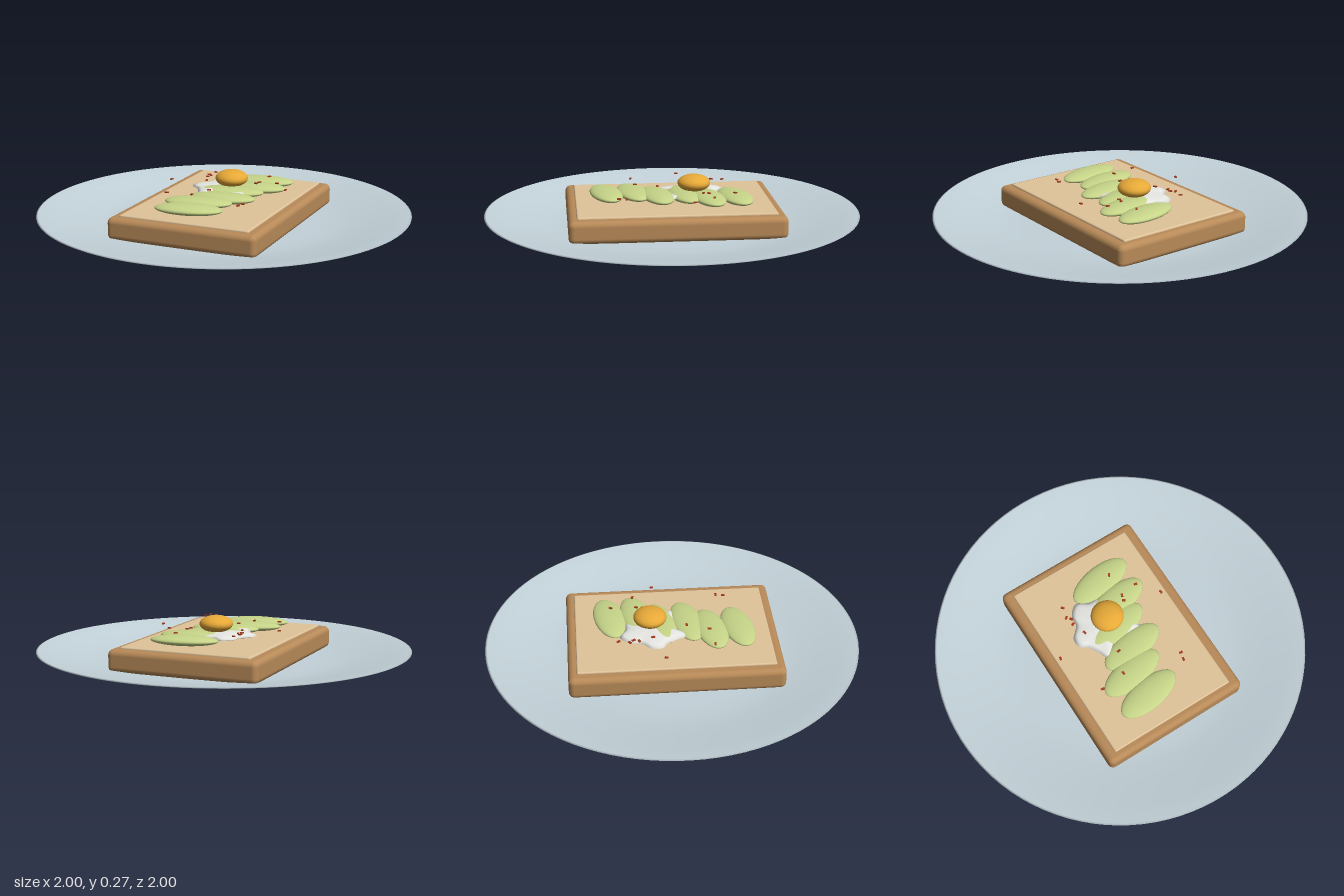
import * as THREE from 'three';
import { RoundedBoxGeometry } from 'three/addons/geometries/RoundedBoxGeometry.js';

const mat = (name, color) => {
  const m = new THREE.MeshStandardMaterial({ color });
  m.name = name;
  return m;
};

// Low dome over a smooth closed outline, tapering to a thin edge
function domeGeometry(outline, centre, yEdge, yTop, yBottom) {
  const curve = new THREE.CatmullRomCurve3(outline.map(([x, z]) => new THREE.Vector3(x, 0, z)), true);
  const n = 72, rings = 8, pos = [], idx = [];
  const ring = (k, y) => {
    for (let i = 0; i < n; i++) {
      const p = curve.getPoint(i / n);
      pos.push(centre[0] + (p.x - centre[0]) * k, y, centre[1] + (p.z - centre[1]) * k);
    }
  };
  for (let r = 0; r <= rings; r++) {
    const k = Math.max(r / rings, 0.001);
    ring(k, yEdge + (yTop - yEdge) * Math.sqrt(1 - k * k));
  }
  ring(0.9, yBottom);
  ring(0.001, yBottom);
  for (let r = 0; r < rings + 2; r++) {
    for (let i = 0; i < n; i++) {
      const a = r * n + i, b = r * n + (i + 1) % n;
      idx.push(a, b, a + n, b, b + n, a + n);
    }
  }
  const g = new THREE.BufferGeometry();
  g.setAttribute('position', new THREE.Float32BufferAttribute(pos, 3));
  g.setIndex(idx);
  g.computeVertexNormals();
  return g;
}

export function createModel() {
  const group = new THREE.Group();
  const plateMat = mat('pale blue ceramic', 0xc3d2d9);
  const crustMat = mat('crust brown', 0xb88a58);
  const crumbMat = mat('toast crumb', 0xe0c49a);
  const avocadoMat = mat('avocado green', 0xc6d488);
  const whiteMat = mat('egg white', 0xf2f2ee);
  whiteMat.side = THREE.DoubleSide;
  const yolkMat = mat('yolk orange', 0xf0b03a);
  const flakeMat = mat('chili red', 0xa83c1e);

  const add = (name, geo, material, x = 0, y = 0, z = 0, ry = 0, parent = group) => {
    const m = new THREE.Mesh(geo, material);
    m.name = name;
    m.position.set(x, y, z);
    m.rotation.y = ry;
    parent.add(m);
    return m;
  };

  // Shallow dish with a wide sloping rim
  const profile = [[0, 0], [0.5, 0], [0.58, 0.005], [0.66, 0.015], [0.76, 0.034], [0.9, 0.06], [0.99, 0.076],
    [1, 0.081], [0.99, 0.085], [0.9, 0.068], [0.78, 0.046], [0.68, 0.029], [0.6, 0.021], [0.5, 0.019], [0, 0.019]];
  add('plate', new THREE.LatheGeometry(profile.map(([x, y]) => new THREE.Vector2(x, y)), 96), plateMat);

  // Toast, turned on the plate
  const toast = new THREE.Group();
  toast.name = 'toast';
  toast.rotation.y = 0.25;
  group.add(toast);
  add('crust', new RoundedBoxGeometry(1.125, 0.12, 0.825, 4, 0.03), crustMat, 0, 0.077, 0, 0, toast);
  add('crumb', new RoundedBoxGeometry(1.035, 0.03, 0.715, 2, 0.008), crumbMat, 0, 0.132, 0, 0, toast);

  // Row of overlapping avocado slices, alternately staggered
  const sliceGeo = new THREE.SphereGeometry(1, 32, 20).scale(0.083, 0.027, 0.181);
  for (let i = 0; i < 6; i++) {
    add('avocadoSlice', sliceGeo, avocadoMat, -0.35 + i * 0.138, 0.17, i % 2 ? -0.003 : 0.043, 0.42);
  }

  // Poached egg
  const outline = [[0.06, -0.24], [0.13, -0.205], [0.19, -0.21], [0.25, -0.17], [0.235, -0.1], [0.25, -0.02],
    [0.19, 0.03], [0.11, 0.03], [0.07, 0.06], [0.02, 0.13], [-0.01, 0.06], [-0.03, -0.04], [-0.11, -0.09],
    [-0.06, -0.13], [-0.01, -0.18], [0.01, -0.225]];
  add('eggWhite', domeGeometry(outline, [0.1, -0.06], 0.174, 0.192, 0.167), whiteMat);
  add('yolk', new THREE.SphereGeometry(1, 40, 24).scale(0.088, 0.045, 0.088), yolkMat, 0.113, 0.229, -0.035);

  // Scattered chili flakes
  const flakeGeo = new THREE.BoxGeometry(0.019, 0.006, 0.011);
  const spots = [[-0.03, -0.34], [-0.26, -0.18], [-0.21, -0.05], [-0.085, -0.035], [0.07, -0.175], [0.135, -0.22],
    [0.165, -0.22], [0.18, -0.243], [0.24, -0.245], [0.345, 0.05], [0.18, 0.08], [0.21, 0.08], [0.25, 0.17],
    [-0.235, 0.275], [-0.195, 0.275], [0.165, 0.285]];
  spots.forEach(([x, z], i) => add('chiliFlake', flakeGeo, flakeMat, x, 0.203, z, i * 1.7));

  return group;
}
